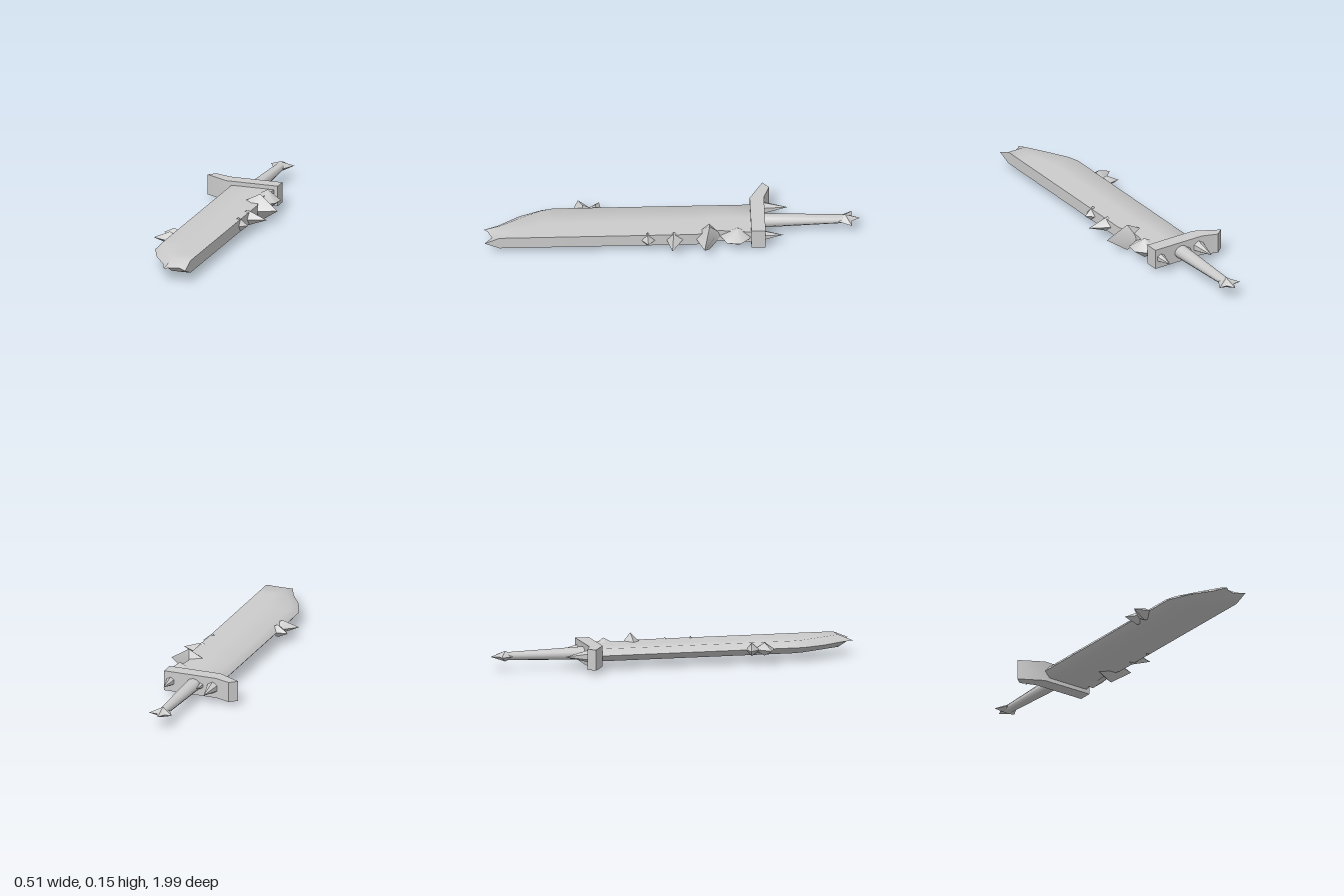
import * as THREE from 'three';
import { toCreasedNormals } from 'three/addons/utils/BufferGeometryUtils.js';

const MID = 0.075; // height of the sword's central plane
const material = new THREE.MeshStandardMaterial({ color: 0xcccccc });

function addMesh(parent, name, geometry, crease = 0.9) {
  const mesh = new THREE.Mesh(crease ? toCreasedNormals(geometry, crease) : geometry, material);
  mesh.name = name;
  parent.add(mesh);
  return mesh;
}

function fromPoints(points) {
  const geometry = new THREE.BufferGeometry();
  geometry.setAttribute('position', new THREE.Float32BufferAttribute(points.flat(), 3));
  return geometry;
}

// Sharp-edged shard: an [x, z] outline on the central plane, peaking above and below
function shard(outline, [ax, az], h) {
  const tris = [];
  outline.forEach(([x, z], i) => {
    const [x2, z2] = outline[(i + 1) % outline.length];
    const a = [x, MID, z], b = [x2, MID, z2];
    const up = (z - az) * (x2 - ax) - (x - ax) * (z2 - az) > 0;
    const [p, q] = up ? [a, b] : [b, a];
    tris.push(p, q, [ax, MID + h, az], q, p, [ax, MID - h, az]);
  });
  return fromPoints(tris);
}

// Blade lofted along z: thin bevelled left edge, flat back on the right, notched tip
function bladeGeometry() {
  // z, left edge, right edge, bevel width, half thickness
  const sections = [
    [-0.43, -0.13, 0.14, 0.03, 0.033],
    [-0.25, -0.13, 0.12, 0.03, 0.033],
    [-0.13, -0.13, 0.15, 0.03, 0.033],
    [0.62, -0.13, 0.15, 0.03, 0.033],
    [0.68, -0.13, 0.15, 0.045, 0.033],
    [0.80, -0.08, 0.15, 0.06, 0.033],
    [0.91, -0.005, 0.15, 0.05, 0.033],
    [0.99, 0.03, 0.15, 0.02, 0],
  ];
  const rings = sections.map(([z, l, r, b, h]) => {
    const m = (l + b + r) / 2;
    const zm = h ? z : z - 0.04; // notch between the two tip points
    return [[l, 0, z], [l + b, h, h ? z : z - 0.02], [m, h, zm], [r, h, z],
      [r, -h, z], [m, -h, zm], [l + b, -h, h ? z : z - 0.02]]
      .map(([x, y, zz]) => [x, MID + y, zz]);
  });
  const tris = [];
  for (let i = 0; i < rings.length - 1; i++) {
    const n = rings[i].length;
    for (let j = 0; j < n; j++) {
      const k = (j + 1) % n;
      const a = rings[i][j], b = rings[i][k], c = rings[i + 1][j], d = rings[i + 1][k];
      tris.push(a, c, b, b, c, d);
    }
  }
  return fromPoints(tris);
}

export function createModel() {
  const sword = new THREE.Group();
  sword.name = 'sword';

  addMesh(sword, 'blade', bladeGeometry());

  // Jagged teeth along both edges of the blade
  const teeth = new THREE.Group();
  teeth.name = 'bladeTeeth';
  sword.add(teeth);
  [
    [[[0.03, -0.34], [0.1, -0.43], [0.155, -0.41], [0.2, -0.36], [0.19, -0.29], [0.11, -0.25]], [0.13, -0.35], 0.055],
    [[[0, -0.2], [0.11, -0.27], [0.14, -0.225], [0.25, -0.17], [0.15, -0.13], [0.08, -0.13]], [0.14, -0.2], 0.075],
    [[[0.06, -0.01], [0.13, -0.08], [0.155, -0.055], [0.25, 0], [0.14, 0.03]], [0.14, -0.01], 0.042],
    [[[0.07, 0.12], [0.14, 0.08], [0.19, 0.125], [0.15, 0.16]], [0.14, 0.13], 0.042],
    [[[-0.05, 0.4], [-0.12, 0.365], [-0.19, 0.375], [-0.14, 0.435]], [-0.125, 0.395], 0.035],
    [[[-0.05, 0.46], [-0.13, 0.405], [-0.15, 0.43], [-0.21, 0.485], [-0.13, 0.515]], [-0.125, 0.465], 0.035],
  ].forEach(([outline, apex, h], i) => addMesh(teeth, `tooth${i + 1}`, shard(outline, apex, h)));

  // Cross guard with one bent arm
  const guardShape = new THREE.Shape([
    [0.16, -0.42], [0.16, -0.495], [-0.135, -0.495], [-0.22, -0.525], [-0.26, -0.49], [-0.13, -0.42],
  ].map(([x, z]) => new THREE.Vector2(x, -z)));
  const guard = new THREE.ExtrudeGeometry(guardShape, { depth: 0.11, bevelEnabled: false });
  guard.rotateX(-Math.PI / 2);
  guard.translate(0, 0.02, 0);
  addMesh(sword, 'guard', guard);

  // Spikes on the rear of the guard: x, radius, tip z
  [[-0.115, 0.036, -0.62], [0.125, 0.028, -0.59], [-0.045, 0.022, -0.55]].forEach(([x, r, tip], i) => {
    const length = -0.48 - tip;
    const cone = new THREE.ConeGeometry(r, length, 6);
    cone.rotateX(-Math.PI / 2);
    cone.translate(x, MID, tip + length / 2);
    addMesh(sword, `guardSpike${i + 1}`, cone);
  });

  // Tapered grip
  const grip = new THREE.CylinderGeometry(0.025, 0.042, 0.45, 10);
  grip.rotateX(-Math.PI / 2);
  grip.scale(1, 0.85, 1);
  grip.translate(-0.005, MID, -0.695);
  addMesh(sword, 'grip', grip);

  // Three-pointed pommel
  addMesh(sword, 'pommel', shard([
    [-0.03, -0.885], [-0.07, -0.955], [-0.03, -0.955], [-0.008, -1], [0.015, -0.955], [0.06, -0.955], [0.022, -0.885], [-0.005, -0.86],
  ], [-0.005, -0.92], 0.028));

  return sword;
}
